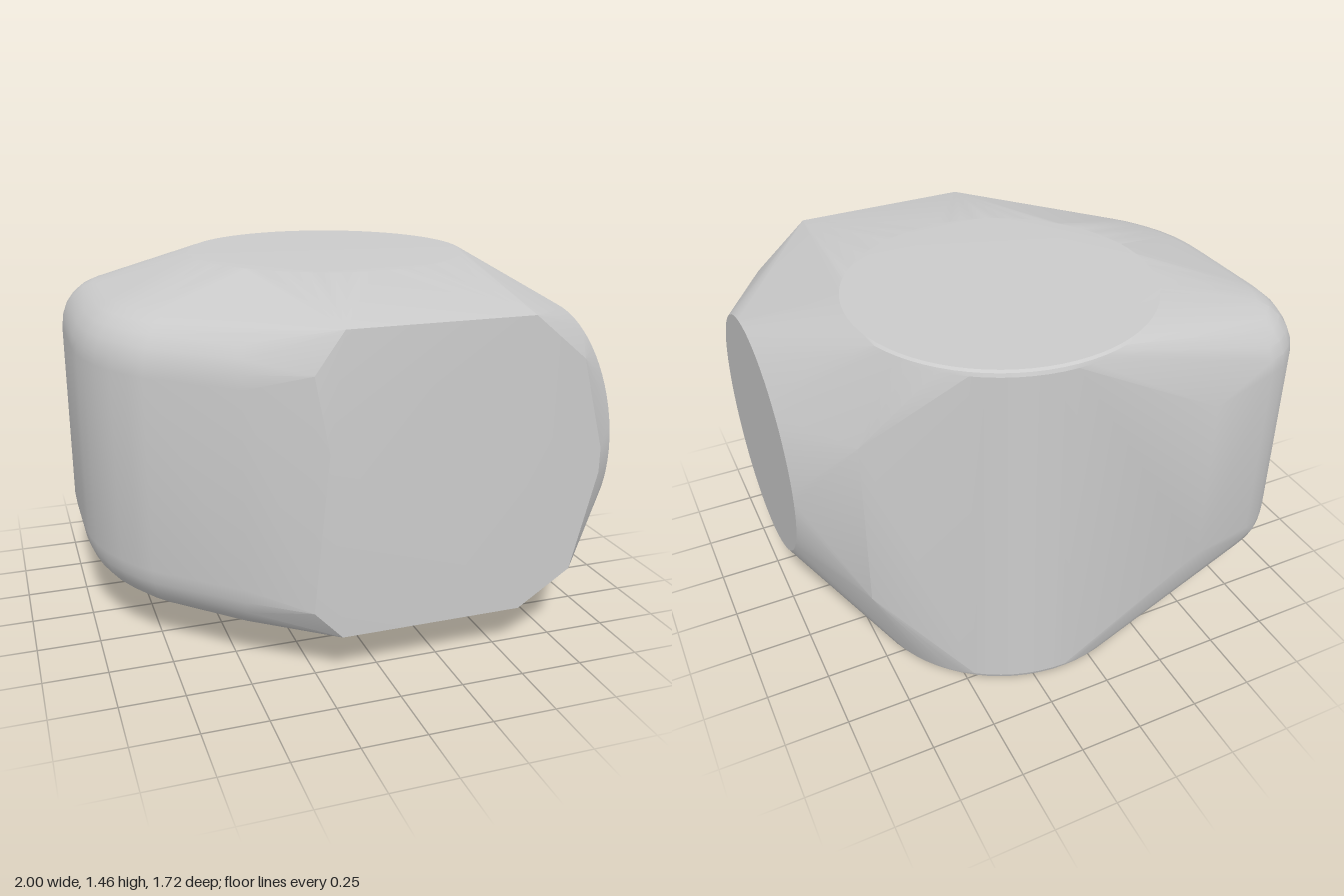
import * as THREE from 'three';
import { toCreasedNormals } from 'three/addons/utils/BufferGeometryUtils.js';
import { ConvexGeometry } from 'three/addons/geometries/ConvexGeometry.js';

export function createModel() {
  const group = new THREE.Group();
  const points = [];
  const add = (x, y, z) => points.push(new THREE.Vector3(x, y, z));

  // Upright drum: round flat top and bottom with a tiny rounded rim
  const steps = 72;
  const rings = [[0, 0.593], [0.006, 0.605], [0.02, 0.61], [1.435, 0.61], [1.449, 0.605], [1.455, 0.593]];
  for (let i = 0; i < steps; i++) {
    const a = (i / steps) * Math.PI * 2, c = Math.cos(a), s = Math.sin(a);
    for (const [y, r] of rings) {
      // the rounded rim only shows along the back
      if (r > 0.6 && s > -0.3) continue;
      const stretch = y < 0.1 && s > 0 ? 1.1 : 1;
      add(0.12 + r * c, y, -0.255 + r * s * stretch);
    }
    // Round flat side disc
    add(1, 0.75 + 0.5 * c, 0.2 + 0.5 * s);
  }

  // Rounded pad on the other side: an outline with softened upper and lower edges
  const outline = [
    [-0.77, -0.8], [-0.84, -0.775], [-0.89, -0.74], [-0.94, -0.69], [-0.975, -0.62], [-0.993, -0.56], [-1, -0.5],
    [-1, -0.1], [-0.993, 0], [-0.975, 0.1], [-0.945, 0.19], [-0.9, 0.28], [-0.85, 0.36], [-0.8, 0.42], [-0.5, 0.69],
  ];
  for (const [x, z] of outline) {
    const dir = new THREE.Vector2(-0.3 - x, -0.15 - z).normalize();
    for (let k = 0; k <= 6; k++) {
      const a = (k / 6) * Math.PI / 2;
      const inset = 0.21 * (1 - Math.cos(a)), rise = 0.21 * Math.sin(a);
      add(x + dir.x * inset, 1.13 + rise, z + dir.y * inset);
      add(x + dir.x * inset, 0.36 - rise, z + dir.y * inset);
    }
  }

  // Back panel corners and the slanted back edge
  for (const y of [0.38, 1.1]) {
    add(-0.48, y, -0.863);
    add(0.8, y, -0.537);
  }

  // Front panel
  for (const y of [0.185, 1.355]) {
    add(-0.17, y, 0.836);
    add(0.56, y, 0.832);
  }
  for (const y of [0.31, 1.17]) add(0.79, y, 0.806);
  for (const y of [0.7, 0.8]) add(0.9, y, 0.79);
  add(-0.23, 0.92, 0.858);
  for (const y of [0.3, 1.2]) add(-0.28, y, 0.835);

  const geometry = toCreasedNormals(new ConvexGeometry(points), 0.3);
  const body = new THREE.Mesh(geometry, new THREE.MeshStandardMaterial({ color: 0xcccccc }));
  body.name = 'roundedBody';
  group.add(body);
  return group;
}
